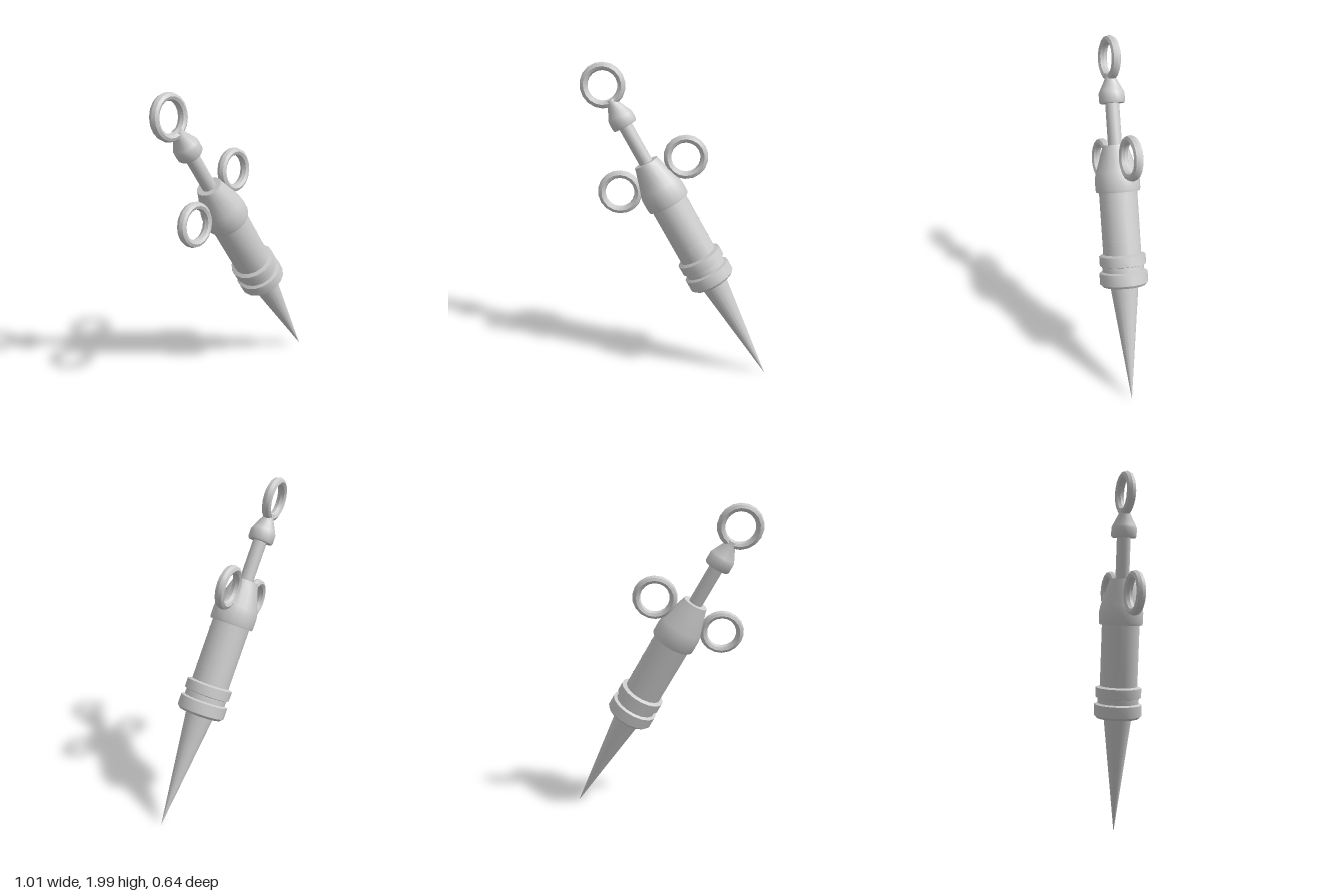
import * as THREE from 'three';
import { toCreasedNormals } from 'three/addons/utils/BufferGeometryUtils.js';

const SIDES = 16;
const material = new THREE.MeshStandardMaterial({ color: 0xcccccc });

function part(name, geometry, parent) {
  const mesh = new THREE.Mesh(toCreasedNormals(geometry, 0.6), material);
  mesh.name = name;
  parent.add(mesh);
  return mesh;
}

// Turned part: profile is [radius, distance from the tip], bottom to top
function turned(name, profile, parent) {
  const points = profile.map(([r, s]) => new THREE.Vector2(r, s));
  return part(name, new THREE.LatheGeometry(points, SIDES), parent);
}

// Finger ring lying in the local xy plane, slightly wider than thick
function ring(name, x, y, parent) {
  const geometry = new THREE.TorusGeometry(0.112, 0.024, 8, 18);
  geometry.scale(1, 1, 1.25);
  geometry.translate(x, y, 0);
  return part(name, geometry, parent);
}

export function createModel() {
  const model = new THREE.Group();
  model.name = 'syringe';

  // Tilted frame: local y runs from the needle tip up to the thumb ring
  const tilted = new THREE.Group();
  tilted.name = 'tiltedSyringe';
  const up = new THREE.Vector3(-0.423, 0.871, 0.251).normalize();
  const side = new THREE.Vector3(0.59, 0.458, -0.666);
  side.addScaledVector(up, -side.dot(up)).normalize();
  const face = new THREE.Vector3().crossVectors(side, up);
  tilted.quaternion.setFromRotationMatrix(new THREE.Matrix4().makeBasis(side, up, face));
  tilted.position.set(0.5, 0.005, -0.32);
  model.add(tilted);

  turned('needleCone', [[0, 0], [0.09, 0.75]], tilted);

  // Stepped collar between needle and barrel
  turned('collar', [
    [0, 0.735], [0.135, 0.735], [0.15, 0.75], [0.15, 0.82], [0.13, 0.828],
    [0.13, 0.862], [0.144, 0.866], [0.144, 0.926], [0.115, 0.936],
  ], tilted);

  turned('barrel', [[0.118, 0.92], [0.118, 1.34]], tilted);

  // Tapered housing that carries the finger rings
  turned('housing', [
    [0.11, 1.32], [0.134, 1.32], [0.138, 1.335], [0.138, 1.4],
    [0.13, 1.44], [0.085, 1.575], [0.077, 1.605], [0.04, 1.605],
  ], tilted);

  turned('plungerRod', [[0.043, 1.58], [0.043, 1.88]], tilted);
  turned('plungerCap', [
    [0, 1.858], [0.074, 1.858], [0.079, 1.868], [0.079, 1.92], [0.072, 1.935],
    [0.036, 2.005], [0.032, 2.035], [0, 2.04],
  ], tilted);

  // Rings: one for the thumb, two mirrored for the fingers
  ring('thumbRing', 0, 2.13, tilted);
  ring('fingerRingLeft', 0.229, 1.52, tilted);
  ring('fingerRingRight', -0.229, 1.52, tilted);

  // Scale marks: thin bands round one side of the barrel, each with a short hook
  const start = -0.14, sweep = 2.75;
  [1.025, 1.145, 1.265].forEach((s, i) => {
    const band = new THREE.CylinderGeometry(0.12, 0.12, 0.008, 14, 1, true, start, sweep);
    band.translate(0, s, 0);
    part('scaleMark' + (i + 1), band, tilted);
    const hook = new THREE.CylinderGeometry(0.12, 0.12, 0.04, 1, 1, true, start, 0.07);
    hook.translate(0, s - 0.02, 0);
    part('scaleHook' + (i + 1), hook, tilted);
  });

  return model;
}
